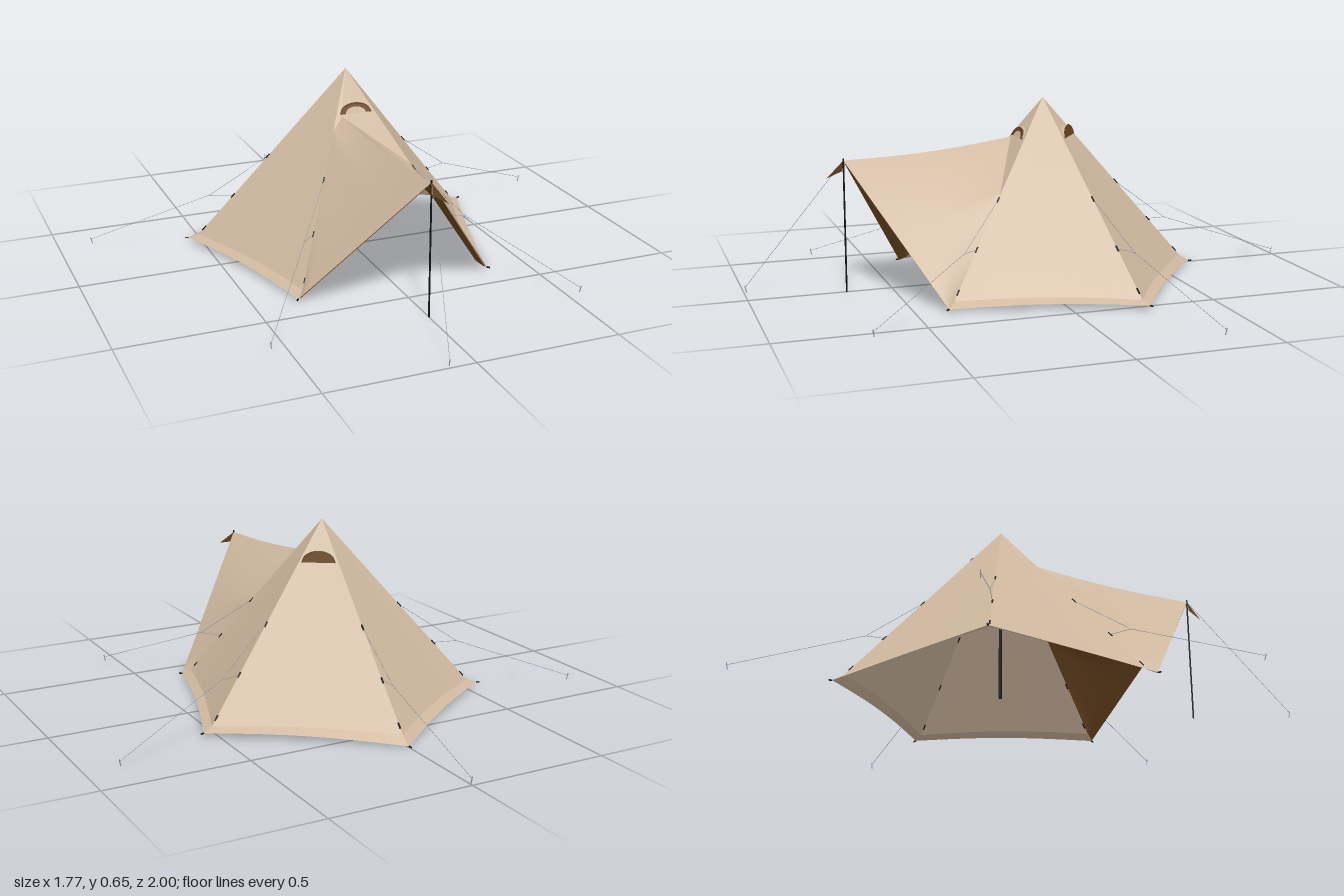
import * as THREE from 'three';

const V = (x, y, z) => new THREE.Vector3(x, y, z);
const mix = (a, b, t) => a.clone().lerp(b, t);
const mat = (name, color, side = THREE.FrontSide) => {
  const m = new THREE.MeshStandardMaterial({ color, side });
  m.name = name;
  return m;
};

// Surface from a rule fn(u, v) -> Vector3
function patch(fn, nu, nv) {
  const pos = [], idx = [];
  for (let j = 0; j <= nv; j++)
    for (let i = 0; i <= nu; i++) pos.push(...fn(i / nu, j / nv).toArray());
  for (let j = 0; j < nv; j++)
    for (let i = 0; i < nu; i++) {
      const a = j * (nu + 1) + i, b = a + 1, c = a + nu + 1, d = c + 1;
      idx.push(a, c, b, b, c, d);
    }
  const g = new THREE.BufferGeometry();
  g.setAttribute('position', new THREE.Float32BufferAttribute(pos, 3));
  g.setIndex(idx);
  g.computeVertexNormals();
  return g;
}

export function createModel() {
  const root = new THREE.Group();
  const canvas = mat('tan canvas', 0xd0b9a0, THREE.DoubleSide);
  const lining = mat('brown lining', 0x6a4520, THREE.DoubleSide);
  const black = mat('black pole', 0x141414);
  const rope = mat('grey rope', 0x8b97a5);

  const add = (name, geo, material, parent = root) => {
    const m = new THREE.Mesh(geo, material);
    m.name = name;
    parent.add(m);
    return m;
  };
  const rod = (name, a, b, r, material) => {
    const d = b.clone().sub(a);
    const m = add(name, new THREE.CylinderGeometry(r, r, d.length(), 6), material);
    m.position.copy(mix(a, b, 0.5));
    m.quaternion.setFromUnitVectors(V(0, 1, 0), d.normalize());
  };

  const apex = V(0, 0.65, -0.06);
  // Wall feet and outer hem corners: left front, left side, back, right side, right front
  const feet = [V(0.325, 0.026, 0.365), V(0.512, 0.028, -0.232), V(0, 0.03, -0.605),
    V(-0.512, 0.028, -0.232), V(-0.325, 0.026, 0.365)];
  const hems = [V(0.35, 0.008, 0.39), V(0.548, 0.016, -0.245), V(0, 0.004, -0.645),
    V(-0.548, 0.016, -0.245), V(-0.35, 0.008, 0.39)];

  // Bottom edge bowed slightly inward and upward
  const edge = (a, b, u) => {
    const p = mix(a, b, u), k = Math.sin(Math.PI * u);
    p.x *= 1 - 0.025 * k;
    p.z *= 1 - 0.018 * k;
    p.y += 0.008 * k;
    return p;
  };
  for (let i = 0; i < 4; i++) {
    add('wallPanel', patch((u, v) => mix(apex, edge(feet[i], feet[i + 1], u),
      0.001 + 0.999 * v), 12, 8), canvas);
    add('wallHem', patch((u, v) => mix(edge(feet[i], feet[i + 1], u),
      edge(hems[i], hems[i + 1], u), v), 12, 1), canvas);
  }

  // Front panel above the doorway
  const join = V(-0.055, 0.505, 0.042);
  const split = { 1: mix(apex, feet[0], 0.5), [-1]: mix(apex, feet[4], 0.3) };
  add('frontPanelLeft', patch((u, v) => mix(apex, mix(join, split[1], u),
    0.001 + 0.999 * v), 4, 4), canvas);
  add('frontPanelRight', patch((u, v) => mix(apex, mix(split[-1], join, u),
    0.001 + 0.999 * v), 4, 4), canvas);

  // Awning: sagging ridge from the pole tip to the front panel, one side per half
  const tip = V(0, 0.463, 0.66);
  const ridge = u => {
    const p = mix(tip, join, u);
    p.y -= 0.012 * Math.sin(Math.PI * u);
    return p;
  };
  for (const s of [1, -1]) {
    const foot = feet[s > 0 ? 0 : 4], corner = hems[s > 0 ? 0 : 4];
    const at = s > 0 ? 0.5 : 0.25;
    // Sewn edge: across the front panel, down the wall ridge, out along the hem
    const seamLine = v => {
      if (v < at) return mix(join, split[s], v / at);
      if (v < 0.95) return mix(split[s], foot, (v - at) / (0.95 - at));
      return mix(foot, corner, (v - 0.95) / 0.05);
    };
    const side = inner => patch((u, v0) => {
      const v = v0 * 0.999;
      const p = mix(ridge(u), corner, v);
      p.addScaledVector(seamLine(v).sub(mix(join, corner, v)), u * u);
      const billow = (s > 0 ? 0.008 : -0.002) * Math.sin(Math.PI * u) * Math.sin(Math.PI * v);
      p.x += s * billow;
      p.y += billow;
      if (inner) {
        p.x *= 0.985;
        p.y -= 0.003 * (1 - v);
      }
      return p;
    }, 12, 20);
    add('awningSide', side(false), canvas);
    add('awningLining', side(true), lining);
  }
  // Loose corner flap at the awning tip
  add('awningTipFlap', patch((u, v) => mix(tip, mix(V(-0.005, 0.425, 0.665),
    V(0.03, 0.41, 0.725), u), 0.01 + 0.99 * v), 2, 2), lining);

  // Black tabs at the guy points and loops at the hem corners
  feet.forEach((f, i) => {
    for (const t of [0.52, 0.76, 0.96])
      rod('guyTab', mix(apex, f, t - 0.013), mix(apex, f, t + 0.013), 0.003, black);
    const out = V(f.x, 0, f.z).normalize();
    rod('cornerLoop', hems[i], hems[i].clone().addScaledVector(out, 0.012), 0.003, black);
  });

  // Arched vents: a shallow hood with a brown mouth, screened to a given share
  const vent = (a, b, t, depth, screen) => {
    const across = b.clone().sub(a).normalize();
    const normal = across.clone().cross(apex.clone().sub(a)).normalize();
    if (normal.y < 0) normal.negate();
    const up = normal.clone().cross(across).normalize();
    if (up.y < 0) up.negate();
    const center = mix(apex, mix(a, b, 0.5), t).addScaledVector(normal, 0.003);
    const arch = (u, rise, out) => center.clone()
      .addScaledVector(across, 0.058 * Math.cos(Math.PI * u))
      .addScaledVector(up, rise * Math.sin(Math.PI * u))
      .addScaledVector(normal, out * Math.sin(Math.PI * u));
    const rim = u => arch(u, 0.036, depth);
    const group = new THREE.Group();
    group.name = 'vent';
    root.add(group);
    add('ventHood', patch((u, v) => mix(arch(u, 0.044, 0), rim(u), v), 12, 1), canvas, group);
    const start = Math.max(screen, 0.01);
    add('ventMouth', patch((u, v) => mix(center, rim(u), start + (1 - start) * v), 12, 2),
      lining, group);
    if (screen > 0)
      add('ventScreen', patch((u, v) => mix(center, rim(u),
        0.01 + (screen - 0.01) * v), 12, 1), canvas, group);
    const pts = [0, 0.2, 0.4, 0.6, 0.8, 1].map(rim);
    add('ventRim', new THREE.TubeGeometry(new THREE.CatmullRomCurve3(pts), 14, 0.002, 5),
      lining, group);
  };
  vent(feet[4], feet[0], 0.225, 0.006, 0.65);
  vent(feet[1], feet[2], 0.22, 0.016, 0);

  // Poles
  rod('centrePole', V(0, 0, -0.06), V(0, 0.64, -0.06), 0.006, black);
  rod('awningPole', V(0, 0, 0.66), V(0, 0.47, 0.66), 0.003, black);

  // Guy lines with forked tops and ground pegs
  const peg = p => {
    const out = V(p.x, 0, p.z).normalize();
    rod('peg', V(p.x, 0.004, p.z).addScaledVector(out, -0.006), V(p.x, 0.028, p.z), 0.0016, rope);
  };
  const guy = (foot, fork, stake) => {
    rod('guyForkUpper', mix(apex, foot, 0.52), fork, 0.0008, rope);
    rod('guyForkLower', mix(apex, foot, 0.76), fork, 0.0008, rope);
    rod('guyLine', fork, stake, 0.0008, rope);
    peg(stake);
  };
  for (const s of [1, -1]) {
    guy(s > 0 ? feet[0] : feet[4], V(0.3 * s, 0.18, 0.32), V(0.55 * s, 0.02, 0.69));
    guy(s > 0 ? feet[1] : feet[3], V(0.47 * s, 0.18, -0.22), V(0.885 * s, 0.02, -0.355));
  }
  guy(feet[2], V(0, 0.18, -0.54), V(0, 0.02, -0.998));
  const frontStake = V(-0.09, 0.02, 0.998);
  rod('awningGuyLine', tip, frontStake, 0.0008, rope);
  peg(frontStake);

  return root;
}
